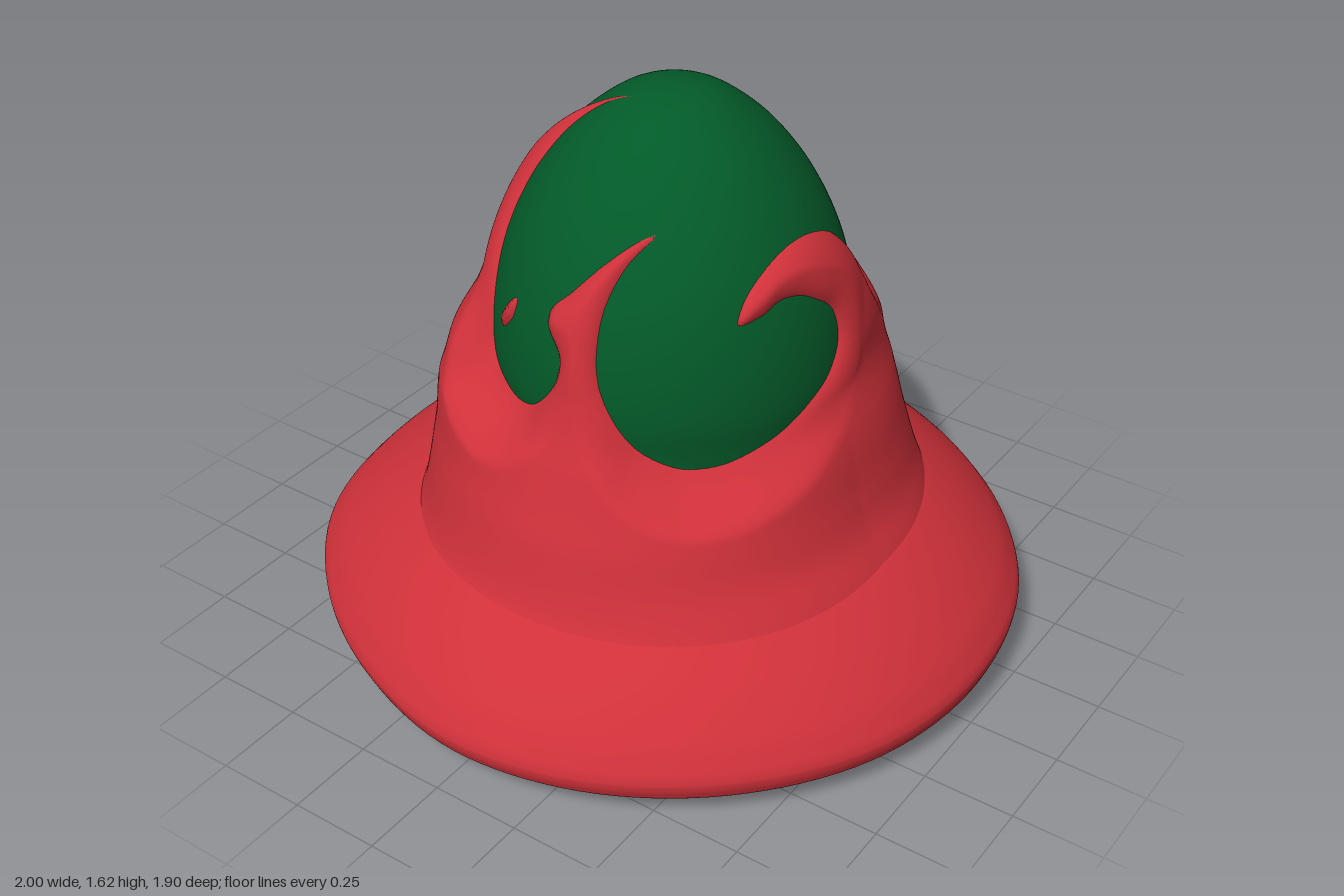
import * as THREE from 'three';

const CX = 0.06, CZ = 0.03; // axis of the crown
const V2 = (x, y) => new THREE.Vector2(x, y);

// Closed-in-the-round surface: point(i/rows, j/cols) gives a Vector3
function loft(rows, cols, point) {
  const pos = [], index = [];
  for (let i = 0; i <= rows; i++)
    for (let j = 0; j < cols; j++) pos.push(...point(i / rows, j / cols).toArray());
  for (let i = 0; i < rows; i++)
    for (let j = 0; j < cols; j++) {
      const k = (j + 1) % cols;
      const a = i * cols + j, b = a + cols, c = b - j + k, d = i * cols + k;
      index.push(a, b, c, a, c, d);
    }
  const g = new THREE.BufferGeometry();
  g.setAttribute('position', new THREE.Float32BufferAttribute(pos, 3));
  g.setIndex(index);
  g.computeVertexNormals();
  return g;
}

// Egg profile (radius, height) from the top down
const egg = new THREE.SplineCurve([
  [0, 1.62], [0.072, 1.611], [0.148, 1.581], [0.248, 1.5], [0.33, 1.4], [0.388, 1.3], [0.43, 1.2],
  [0.457, 1.1], [0.472, 1], [0.475, 0.9], [0.462, 0.8], [0.45, 0.65], [0.45, 0.5], [0.45, 0.37],
].map(p => V2(...p)));
egg.arcLengthDivisions = 600;
const eggLength = egg.getLength();

// Arc length from the tip to a height, used to unroll the egg onto a plane
const heights = Array.from({ length: 601 }, (_, i) => egg.getPointAt(i / 600).y);
const arcAt = y => eggLength * Math.max(0, heights.findIndex(h => h <= y)) / 600;
const unroll = (angle, s) => V2(s * Math.sin(angle), s * Math.cos(angle));

// Smooth closed outline from (degrees, height) pairs
function outline(pairs, samples) {
  const pts = pairs.map(([deg, y]) => {
    const p = unroll(THREE.MathUtils.degToRad(deg), arcAt(y));
    return new THREE.Vector3(p.x, p.y, 0);
  });
  return new THREE.CatmullRomCurve3(pts, true, 'centripetal').getPoints(samples);
}

// Signed distance to an outline, positive outside
function distance(p, poly) {
  let best = Infinity, inside = false;
  for (let i = 0; i < poly.length - 1; i++) {
    const a = poly[i], b = poly[i + 1];
    const ex = b.x - a.x, ey = b.y - a.y, px = p.x - a.x, py = p.y - a.y;
    const t = Math.min(1, Math.max(0, (px * ex + py * ey) / (ex * ex + ey * ey || 1)));
    best = Math.min(best, Math.hypot(px - t * ex, py - t * ey));
    if ((a.y > p.y) !== (b.y > p.y) && px < (ex * py) / ey) inside = !inside;
  }
  return inside ? -best : best;
}

// Opening in the red shell: four lobes parted by curling tongues
const opening = outline([
  [-32, 1.6], [-55, 1.55], [-60, 1.45], [-56, 1.27], [-46, 1.06], [-40, 0.92], [-25, 0.86], [-13, 0.88],
  [-4, 0.97], [-2, 1.05], [-8, 1.12], [-8, 1.16], [-1, 1.22], [9, 1.3], [28, 1.38],
  [17, 1.3], [11, 1.17], [12, 1], [22, 0.85], [35, 0.785], [47, 0.78], [57, 0.8], [69, 0.84], [81, 0.9],
  [90, 0.95], [96, 1.02], [95, 1.1], [87, 1.16], [80, 1.19], [71, 1.2], [64, 1.18], [55, 1.17],
  [58, 1.22], [68, 1.28], [82, 1.31], [97, 1.3], [109, 1.26], [118, 1.19], [125, 1.1], [132, 1.05],
  [142, 1.03], [152, 1.04], [161, 1.08], [168, 1.16], [175, 1.24], [187, 1.37], [200, 1.45], [215, 1.485],
  [211, 1.3], [217, 1.16], [229, 1.06], [242, 1.02], [254, 1.06], [265, 1.3], [285, 1.48], [299, 1.555],
], 260);
const fleck = outline([[-32, 1.03], [-32, 1.08], [-25, 1.135], [-26, 1.08]], 24);

// Shell radius by height in four directions: left, right, front, back
const shellRadius = new THREE.CubicInterpolant(
  [0.36, 0.42, 0.52, 0.6, 0.75, 0.83, 0.9, 1, 1.1, 1.2, 1.3],
  [
    0.70, 0.71, 0.70, 0.70,
    0.67, 0.69, 0.67, 0.69,
    0.61, 0.67, 0.64, 0.67,
    0.585, 0.655, 0.62, 0.65,
    0.555, 0.62, 0.575, 0.63,
    0.53, 0.595, 0.55, 0.625,
    0.505, 0.57, 0.525, 0.615,
    0.50, 0.52, 0.505, 0.595,
    0.48, 0.485, 0.49, 0.565,
    0.45, 0.45, 0.465, 0.495,
    0.42, 0.415, 0.425, 0.44,
  ], 4);

function eggPoint(u, v, offset = 0) {
  const angle = v * Math.PI * 2, p = egg.getPointAt(u), t = egg.getTangentAt(u);
  const r = u === 0 ? 0 : p.x - t.y * offset;
  return new THREE.Vector3(CX + r * Math.sin(angle), p.y + t.x * offset, CZ + r * Math.cos(angle));
}

// Extra fullness between the four directions: a shoulder on the right, a wide foot at the back left
function fullness(s, c, y) {
  const bell = (mid, width) => Math.exp(-(((y - mid) / width) ** 2));
  const diagonal = Math.abs(s * c);
  if (s < 0) return 0.08 * diagonal * bell(0.85, 0.16);
  return c < 0 ? 0.06 * diagonal * bell(0.55, 0.3) : 0;
}

// Red shell dips under the egg inside the opening and swells to full width away from it
function shellPoint(u, v) {
  const angle = v * Math.PI * 2, s = Math.sin(angle), c = Math.cos(angle);
  const p = egg.getPointAt(u), q = unroll(angle, u * eggLength);
  const d = Math.max(distance(q, opening), -distance(q, fleck));
  if (d <= 0) return eggPoint(u, v, Math.max(-0.03, d));
  const w = shellRadius.evaluate(Math.min(p.y, 1.3));
  const full = (s > 0 ? w[0] : w[1]) * s * s + (c > 0 ? w[2] : w[3]) * c * c + fullness(s, c, p.y);
  const lip = 0.026 * (1 - Math.exp(-d / 0.03));
  const swell = p.y < 1.3 ? Math.max(0.01, full - p.x - 0.026) : 0.01 * (1.62 - p.y) / 0.32;
  return eggPoint(u, v, lip + swell * THREE.MathUtils.smoothstep(d, 0, 0.13));
}

// Rim of the brim, from the front round by the left: (degrees, radius)
const rim = new THREE.CatmullRomCurve3([
  [0, 0.945], [22, 0.95], [45, 0.96], [68, 0.985], [90, 1], [112, 1.005], [135, 0.98], [158, 0.955], [180, 0.95],
  [202, 0.935], [225, 0.975], [247, 1.025], [270, 1], [292, 0.985], [315, 0.94], [338, 0.925],
].map(([deg, r]) => {
  const a = THREE.MathUtils.degToRad(deg);
  return new THREE.Vector3(r * Math.sin(a), 0, r * Math.cos(a));
}), true);

// Brim section: x is the way out, y the height (1 at the crown, 0 at the rim, -1 on the ground)
const brimSection = new THREE.SplineCurve([
  V2(-0.2, 1.03), V2(0, 0.98), V2(0.42, 0.68), V2(0.77, 0.35), V2(0.93, 0.14), V2(0.99, 0.03),
  V2(1, -0.08), V2(0.975, -0.27), V2(0.9, -0.46), V2(0.6, -0.68), V2(-0.4, -0.9), V2(-2.2, -1),
]);
function brimPoint(u, v) {
  const edge = rim.getPoint(v), angle = Math.atan2(edge.x, edge.z);
  const lift = ((1 - Math.cos(angle)) / 2) ** 2;
  const rimY = 0.125 + 0.08 * lift + 0.01 * Math.sin(angle), baseY = 0.41 + 0.09 * lift;
  const s = brimSection.getPoint(u);
  const inner = new THREE.Vector3(CX + 0.67 * Math.sin(angle), 0, CZ + 0.67 * Math.cos(angle));
  const p = u === 1 ? new THREE.Vector3() : inner.lerp(edge, s.x);
  p.y = s.y > 0 ? rimY + (baseY - rimY) * s.y : Math.max(0, rimY * (1 + s.y));
  return p;
}

export function createModel() {
  const red = new THREE.MeshStandardMaterial({ name: 'red', color: 0xd0313a });
  const green = new THREE.MeshStandardMaterial({ name: 'green', color: 0x035a29 });
  const group = new THREE.Group();
  group.name = 'hat';
  const add = (name, geometry, material) => {
    const mesh = new THREE.Mesh(geometry, material);
    mesh.name = name;
    group.add(mesh);
  };
  add('brim', loft(66, 128, brimPoint), red);
  add('crownShell', loft(150, 320, shellPoint), red);
  add('innerEgg', loft(60, 128, (u, v) => eggPoint(u * 0.75, v)), green);
  return group;
}
